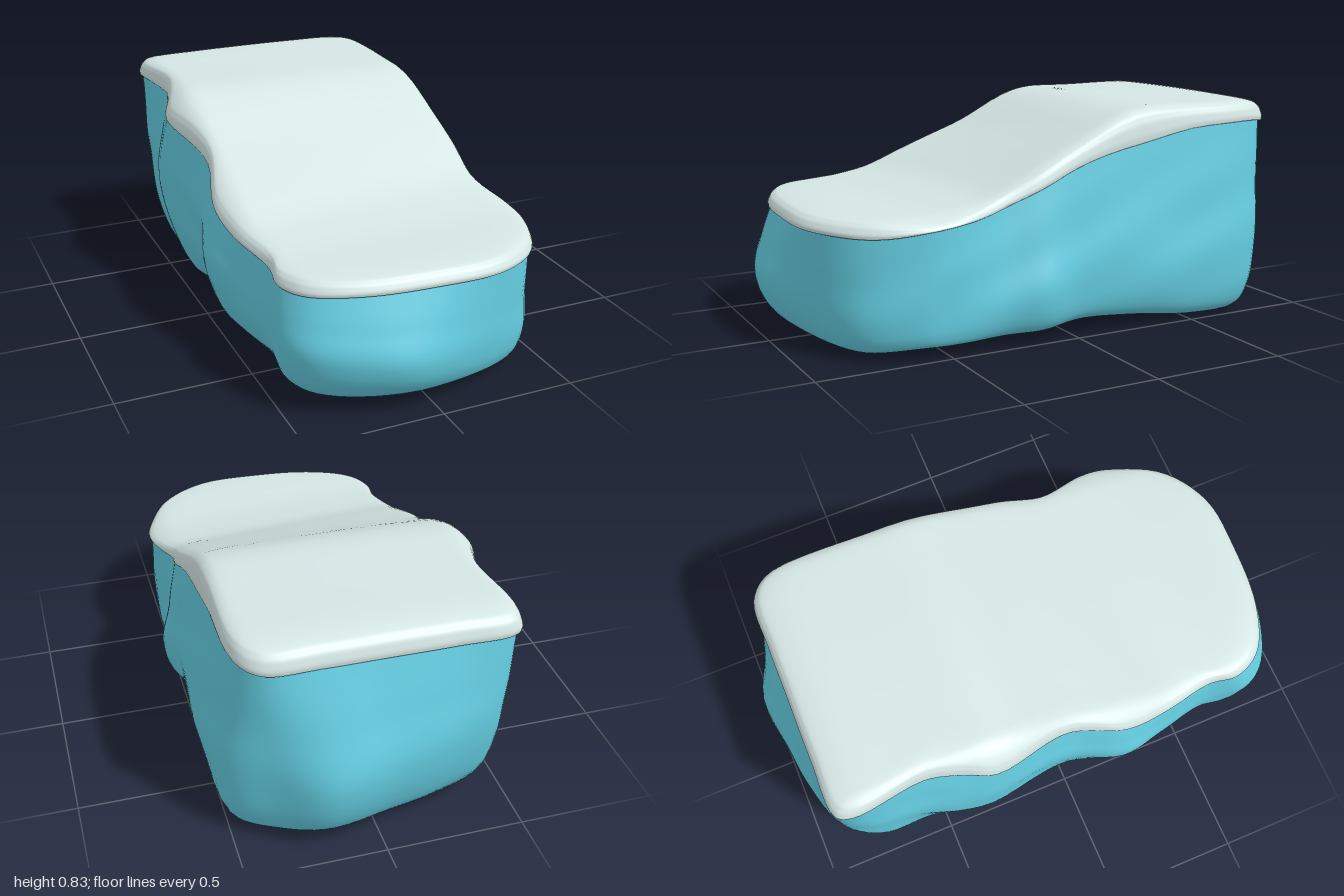
import * as THREE from 'three';

const SEGMENTS = 144;

// Outline stations going round the block: [capX, capZ, bulgeX, bulgeZ]
const STATIONS = [
  [-0.47, -0.88, -0.43, -0.88], [-0.25, -0.89, -0.23, -0.95], [0, -0.89, -0.06, -0.975],
  [0.2, -0.89, 0.2, -1.0], [0.4, -0.88, 0.37, -0.89], [0.47, -0.8, 0.51, -0.76],
  [0.485, -0.4, 0.54, -0.4], [0.49, 0, 0.53, 0], [0.495, 0.15, 0.56, 0.15],
  [0.485, 0.3, 0.525, 0.3], [0.53, 0.5, 0.525, 0.5], [0.52, 0.62, 0.51, 0.63],
  [0.42, 0.82, 0.41, 0.81], [0.24, 0.93, 0.2, 0.92], [0, 0.94, -0.08, 1.0],
  [-0.25, 0.91, -0.25, 0.97], [-0.42, 0.83, -0.43, 0.88], [-0.48, 0.72, -0.49, 0.78],
  [-0.47, 0.6, -0.48, 0.6], [-0.51, 0.4, -0.53, 0.4], [-0.53, 0.22, -0.565, 0.22],
  [-0.48, 0, -0.51, 0], [-0.54, -0.3, -0.555, -0.33], [-0.5, -0.42, -0.54, -0.45],
  [-0.47, -0.55, -0.5, -0.6], [-0.5, -0.82, -0.49, -0.78],
];

// Side profiles, height along z
const SNOW_TOP = [[-0.9, 0.815], [-0.8, 0.828], [-0.28, 0.828], [-0.18, 0.8], [0, 0.71], [0.38, 0.54], [0.6, 0.508], [1, 0.505]];
const SNOW_EDGE = [[-0.9, 0.735], [-0.8, 0.755], [-0.5, 0.745], [-0.15, 0.68], [0, 0.635], [0.15, 0.565], [0.35, 0.49], [0.75, 0.442], [1, 0.455]];
const BASE = [[-1, 0.04], [-0.87, 0.02], [-0.75, 0], [-0.45, 0.015], [-0.3, 0.04], [-0.05, 0.06], [0.2, 0.04], [0.6, 0.04], [0.82, 0.012], [1, 0.06]];

function linear(table, z) {
  if (z <= table[0][0]) return table[0][1];
  for (let i = 1; i < table.length; i++) {
    const [z0, y0] = table[i - 1], [z1, y1] = table[i];
    if (z <= z1) return y0 + (y1 - y0) * (z - z0) / (z1 - z0);
  }
  return table[table.length - 1][1];
}

// Height from a profile with its corners softened
function height(table, z) {
  let sum = 0;
  for (let k = -3; k <= 3; k++) sum += linear(table, z + k * 0.02);
  return sum / 7;
}

const closedCurve = (points) => new THREE.CatmullRomCurve3(points, true, 'centripetal');
const capOutline = closedCurve(STATIONS.map(([x, z]) => new THREE.Vector3(x, 0, z)));
const bulgeOutline = closedCurve(STATIONS.map(([, , x, z]) => new THREE.Vector3(x, 0, z)));

// Lofts rings from the lowest to the highest.
// Each key is [outline scale, share of the bulge, height fraction];
// place(point, fraction) sets the height and any lumps.
function loft(keys, rows, place) {
  const profile = new THREE.CatmullRomCurve3(keys.map((k) => new THREE.Vector3(...k)), false, 'centripetal');
  const positions = [], index = [];
  for (let j = 0; j <= rows; j++) {
    const key = profile.getPoint(j / rows);
    for (let i = 0; i < SEGMENTS; i++) {
      const p = capOutline.getPoint(i / SEGMENTS).lerp(bulgeOutline.getPoint(i / SEGMENTS), key.y);
      p.multiplyScalar(key.x);
      place(p, key.z);
      positions.push(p.x, p.y, p.z);
      if (j < rows) {
        const n = (i + 1) % SEGMENTS;
        const a = j * SEGMENTS + i, b = j * SEGMENTS + n, c = a + SEGMENTS, d = b + SEGMENTS;
        index.push(a, c, b, b, c, d);
      }
    }
  }
  const geometry = new THREE.BufferGeometry();
  geometry.setAttribute('position', new THREE.Float32BufferAttribute(positions, 3));
  geometry.setIndex(index);
  geometry.computeVertexNormals();
  return geometry;
}

// Walls bulge high on the right side, low on the left and front, with shallow dents
function placeIce(p, fraction) {
  const power = 0.88 + 0.65 * p.x + 0.2 * Math.max(p.z, 0);
  const f = Math.pow(THREE.MathUtils.clamp(fraction, 0, 1), power);
  const base = height(BASE, p.z) + 0.1 * Math.min(p.x, 0) ** 2;
  p.y = THREE.MathUtils.lerp(base, height(SNOW_EDGE, p.z), f);
  const wave = Math.sin(p.z * 11 + p.y * 9) * Math.cos(p.x * 9 - p.y * 13);
  p.x *= 1 + 0.01 * wave * Math.sin(Math.PI * f);
}

// Snow thins towards its long edges, and the foot of the slope runs askew
function placeSnow(p, fraction) {
  const edge = height(SNOW_EDGE, p.z);
  const skew = 0.1 * p.x * THREE.MathUtils.smoothstep(p.z, 0, 0.4);
  const top = height(SNOW_TOP, p.z + skew) - 0.03 * p.x * p.x;
  const thinning = Math.min(0.6, 50 * Math.max(Math.abs(p.x) - 0.43, 0) ** 2);
  p.y = THREE.MathUtils.lerp(edge, top, fraction * (1 - thinning));
}

export function createModel() {
  const ice = new THREE.MeshStandardMaterial({ color: 0x65cfe3 });
  ice.name = 'ice blue';
  const snow = new THREE.MeshStandardMaterial({ color: 0xd5e6e5 });
  snow.name = 'snow white';

  // Lumpy ice block: underside, rounded foot, bulging walls
  const block = new THREE.Mesh(loft([
    [0.001, 0.5, 0.01], [0.45, 0.5, 0.005], [0.83, 0.6, 0], [0.93, 0.75, 0.05],
    [0.98, 0.95, 0.19], [1, 1, 0.38], [0.995, 0.6, 0.68], [0.985, 0.05, 1.0],
  ], 48, placeIce), ice);
  block.name = 'iceBlock';

  // Snow blanket: thin lip underneath, sloping rim, gently crowned top
  const blanket = new THREE.Mesh(loft([
    [0.94, 0, 0.05], [0.99, 0, -0.1], [1.0, 0, 0.08], [0.995, 0, 0.4], [0.98, 0, 0.72],
    [0.95, 0, 0.92], [0.88, 0, 1], [0.65, 0, 1], [0.43, 0, 1], [0.22, 0, 1], [0.001, 0, 1],
  ], 60, placeSnow), snow);
  blanket.name = 'snowBlanket';

  const group = new THREE.Group();
  group.name = 'snowyIceRamp';
  group.add(block, blanket);
  return group;
}
